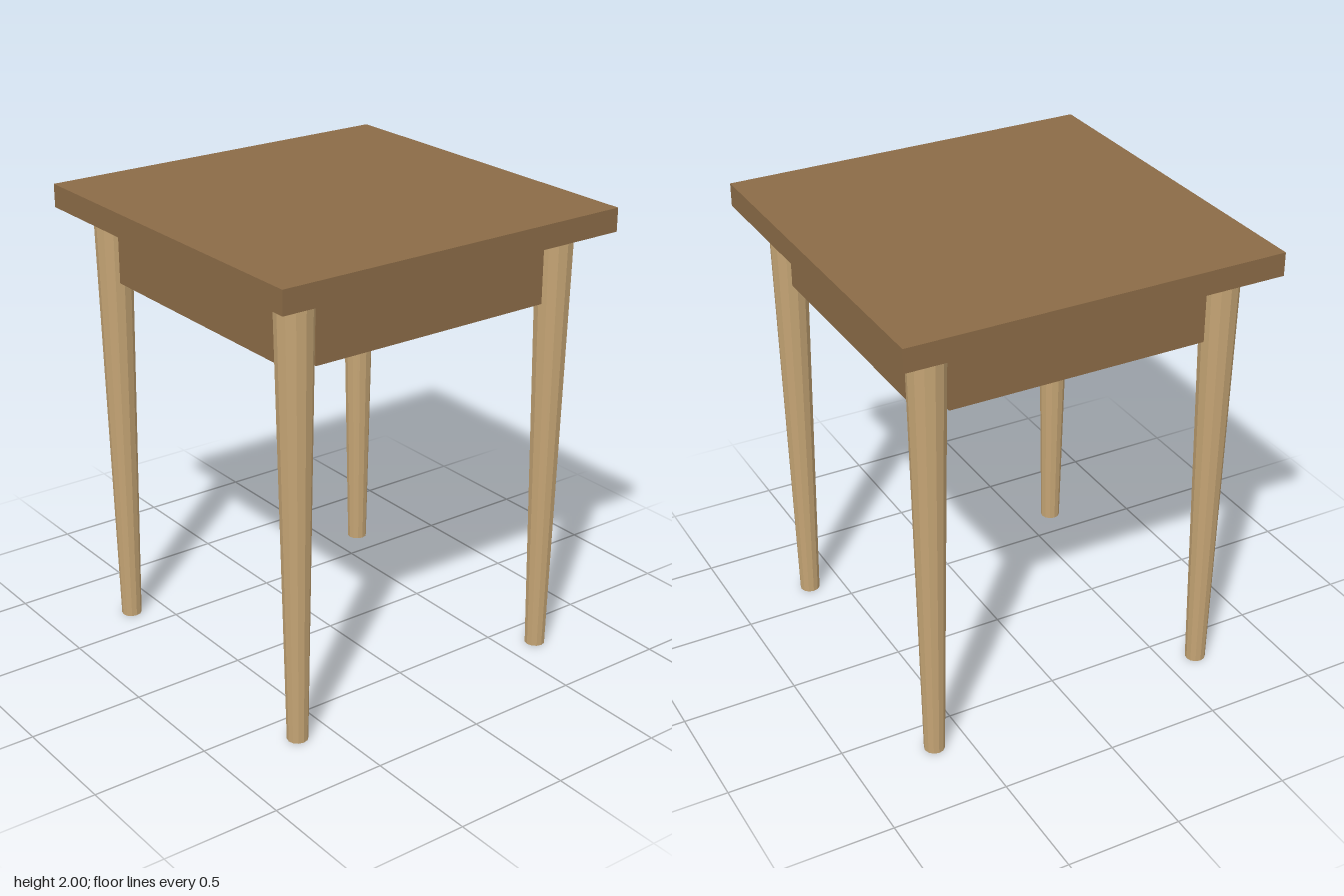
import * as THREE from 'three';

export function createModel() {
  const table = new THREE.Group();
  table.name = 'sideTable';

  const darkWood = new THREE.MeshStandardMaterial({ color: 0x8b6b47 });
  darkWood.name = 'darkWood';
  const lightWood = new THREE.MeshStandardMaterial({ color: 0xc4a474 });
  lightWood.name = 'lightWood';

  const add = (name, geometry, material, x, y, z) => {
    const mesh = new THREE.Mesh(geometry, material);
    mesh.name = name;
    mesh.position.set(x, y, z);
    table.add(mesh);
    return mesh;
  };

  const topHeight = 2, topThickness = 0.1, topWidth = 1.635;
  const underside = topHeight - topThickness;
  const inset = 0.645; // centre line shared by legs and aprons

  // Square table top
  add('tableTop', new THREE.BoxGeometry(topWidth, topThickness, topWidth), darkWood,
    0, topHeight - topThickness / 2, 0);

  // Tapered round legs, one per corner
  const legGeometry = new THREE.CylinderGeometry(0.08, 0.044, underside, 12).toNonIndexed();
  legGeometry.computeVertexNormals();
  for (const [side, sx] of [['Left', 1], ['Right', -1]]) {
    for (const [end, sz] of [['front', 1], ['back', -1]]) {
      add(`${end}${side}Leg`, legGeometry, lightWood, sx * inset, underside / 2, sz * inset);
    }
  }

  // Apron boards spanning between the legs
  const apronHeight = 0.295;
  const apronGeometry = new THREE.BoxGeometry(1.13, apronHeight, 0.05);
  ['front', 'left', 'back', 'right'].forEach((side, i) => {
    const angle = i * Math.PI / 2;
    add(`${side}Apron`, apronGeometry, darkWood,
      Math.sin(angle) * inset, underside - apronHeight / 2, Math.cos(angle) * inset).rotation.y = angle;
  });

  return table;
}
